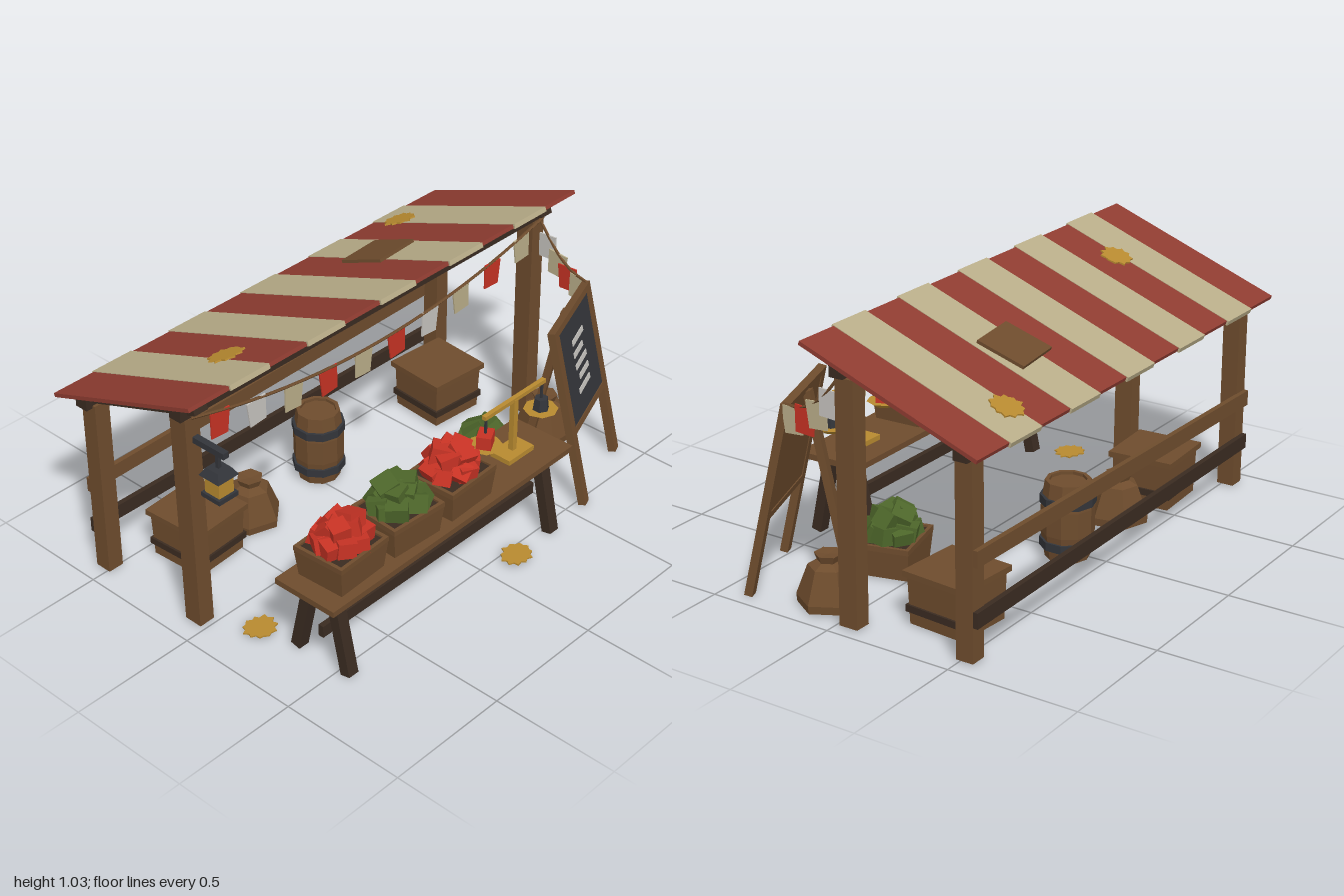
import * as THREE from 'three';

const paint = (name, color) => Object.assign(new THREE.MeshStandardMaterial({ color }), { name });
const wood = paint('wood', 0x6e4c2d), darkWood = paint('dark wood', 0x3a2b21);
const canvasRed = paint('canvas red', 0x8f3c31), cream = paint('cream cloth', 0xb9ad89);
const red = paint('bright red', 0xc63224), green = paint('leaf green', 0x4d662a);
const gold = paint('brass and straw', 0xb88a30), iron = paint('iron and slate', 0x33353a);
const white = paint('white', 0xc6c3be);

let seed = 7;
const rnd = (a, b) => {
  seed = (seed * 16807) % 2147483647;
  return a + (b - a) * (seed / 2147483647);
};
const V = (x, y, z) => new THREE.Vector3(x, y, z);
const Y = V(0, 1, 0);

// faceted mesh
function add(parent, name, geo, mat, x = 0, y = 0, z = 0) {
  const g = geo.index ? geo.toNonIndexed() : geo;
  g.computeVertexNormals();
  const m = new THREE.Mesh(g, mat);
  m.name = name;
  m.position.set(x, y, z);
  parent.add(m);
  return m;
}
const box = (parent, name, mat, w, h, d, x, y, z) =>
  add(parent, name, new THREE.BoxGeometry(w, h, d), mat, x, y, z);

// square bar between two points
function bar(parent, name, mat, a, b, w, d) {
  const dir = b.clone().sub(a), mid = a.clone().add(b).multiplyScalar(0.5);
  const m = box(parent, name, mat, w, dir.length(), d, mid.x, mid.y, mid.z);
  m.quaternion.setFromUnitVectors(Y, dir.normalize());
  return m;
}

// box whose bottom is scaled by k
function taperedBox(w, h, d, k) {
  const g = new THREE.BoxGeometry(w, h, d), p = g.attributes.position;
  for (let i = 0; i < p.count; i++)
    if (p.getY(i) < 0) p.setXYZ(i, p.getX(i) * k, p.getY(i), p.getZ(i) * k);
  return g;
}

function group(parent, name, x = 0, y = 0, z = 0, ry = 0) {
  const g = new THREE.Group();
  g.name = name;
  g.position.set(x, y, z);
  g.rotation.y = ry;
  parent.add(g);
  return g;
}

// open crate heaped with chunky produce
function produceCrate(parent, x, y, z, ry, mat) {
  const g = group(parent, 'produceCrate', x, y, z, ry);
  const w = 0.245, d = 0.215, h = 0.115;
  add(g, 'crateBody', taperedBox(w, h, d, 0.9), wood, 0, h / 2, 0);
  box(g, 'crateInside', darkWood, w - 0.03, 0.004, d - 0.03, 0, h + 0.001, 0);
  for (const s of [-1, 1]) {
    box(g, 'rim', wood, w, 0.02, 0.014, 0, h, s * (d / 2 - 0.007));
    box(g, 'rim', wood, 0.014, 0.02, d, s * (w / 2 - 0.007), h, 0);
  }
  const heap = (n, rx, rz, hy) => {
    for (let i = 0; i < n; i++) {
      const a = (i / n) * Math.PI * 2 + rnd(-0.2, 0.2);
      const s = rnd(0.062, 0.08);
      box(g, 'produce', mat, s, s * 0.9, s, Math.cos(a) * rx, hy + rnd(-0.008, 0.008), Math.sin(a) * rz)
        .rotation.set(rnd(-0.5, 0.5), rnd(0, 3), rnd(-0.5, 0.5));
    }
  };
  heap(9, 0.075, 0.062, h + 0.03);
  heap(5, 0.04, 0.035, h + 0.075);
}

// closed crate with lid and dark strap
function lidCrate(parent, x, z, ry) {
  const g = group(parent, 'lidCrate', x, 0.02, z, ry);
  add(g, 'crateBody', taperedBox(0.24, 0.18, 0.24, 0.95), wood, 0, 0.09, 0);
  box(g, 'lid', wood, 0.265, 0.022, 0.265, 0, 0.19, 0);
  box(g, 'strap', darkWood, 0.25, 0.026, 0.25, 0, 0.06, 0);
}

function sack(parent, x, z, ry) {
  const pts = [[0, 0], [0.115, 0], [0.118, 0.03], [0.075, 0.145], [0.04, 0.162], [0.052, 0.19], [0, 0.185]];
  add(parent, 'sack', new THREE.LatheGeometry(pts.map(p => new THREE.Vector2(...p)), 6), wood, x, 0.02, z).rotation.y = ry;
}

// ragged straw patch, flat in xz
function straw(parent, x, y, z) {
  const pts = [];
  for (let i = 0; i < 22; i++) {
    const a = (i / 22) * Math.PI * 2, r = (i % 2 ? 0.055 : 0.067) + rnd(-0.006, 0.006);
    pts.push(new THREE.Vector2(Math.cos(a) * r, Math.sin(a) * r * 0.9));
  }
  const geo = new THREE.ExtrudeGeometry(new THREE.Shape(pts), { depth: 0.006, bevelEnabled: false });
  add(parent, 'straw', geo.rotateX(-Math.PI / 2), gold, x, y, z);
}

// rope along a curve with hanging flags
function bunting(parent, curve, flags, along) {
  add(parent, 'rope', new THREE.TubeGeometry(curve, 24, 0.006, 5), wood);
  flags.forEach(([t, mat], i) => {
    const p = curve.getPointAt(t), tilt = i % 2 ? 0.08 : -0.06;
    const flag = add(parent, 'flag', taperedBox(0.088, 0.1, 0.006, 0.86), mat, p.x, p.y - 0.05, p.z);
    flag.rotation.set(0, along, tilt);
  });
}

export function createModel() {
  const model = new THREE.Group();
  model.name = 'marketStall';

  // frame
  const frame = group(model, 'frame');
  for (const s of [-1, 1]) {
    const foot = s < 0 ? -0.885 : 0.92;
    bar(frame, 'frontPost', wood, V(foot, 0.02, -0.055), V(s * 0.905, 0.915, -0.05), 0.065, 0.075);
    bar(frame, 'backPost', wood, V(s * 0.9, 0.02, -0.52), V(s * 0.9, 0.75, -0.52), 0.065, 0.068);
    bar(frame, 'rafter', darkWood, V(s * 0.9, 0.755, -0.575), V(s * 0.9, 0.972, 0.025), 0.06, 0.042);
  }
  bar(frame, 'frontBeam', darkWood, V(-0.96, 0.948, -0.035), V(0.96, 0.948, -0.035), 0.055, 0.055);
  bar(frame, 'backBeam', darkWood, V(-0.96, 0.765, -0.525), V(0.96, 0.765, -0.525), 0.05, 0.055);
  bar(frame, 'upperRail', wood, V(-0.93, 0.375, -0.562), V(0.93, 0.4, -0.562), 0.06, 0.02);
  bar(frame, 'lowerRail', darkWood, V(-0.93, 0.195, -0.562), V(0.93, 0.18, -0.562), 0.058, 0.02);

  // striped awning
  const roof = group(model, 'awning', 0, 0.903, -0.268);
  roof.rotation.x = -0.354;
  for (let i = 0; i < 11; i++)
    box(roof, 'stripe', i % 2 ? cream : canvasRed, 2 / 11, i % 2 ? 0.019 : 0.015, i % 2 ? 0.76 : 0.745, -1 + (i + 0.5) * 2 / 11, 0, 0);
  box(roof, 'roofPatch', wood, 0.205, 0.012, 0.19, 0.325, 0.018, -0.04).rotation.y = 0.1;
  straw(roof, -0.61, 0.011, 0.126);
  straw(roof, 0.66, 0.011, -0.247);

  // trestle table
  const table = group(model, 'table');
  box(table, 'tableTop', wood, 1.29, 0.023, 0.272, -0.195, 0.351, 0.42).rotation.y = 0.01;
  for (const x of [-0.74, 0.355])
    for (const s of [-1, 1])
      bar(table, 'tableLeg', darkWood, V(x, 0.02, 0.42 + s * 0.12), V(x, 0.342, 0.42 + s * 0.05), 0.046, 0.042);
  bar(table, 'stretcher', darkWood, V(-0.76, 0.155, 0.425), V(0.375, 0.155, 0.425), 0.048, 0.022);

  // goods
  produceCrate(model, -0.655, 0.362, 0.425, 0.05, red);
  produceCrate(model, -0.37, 0.362, 0.425, -0.05, green);
  produceCrate(model, -0.09, 0.362, 0.425, 0.04, red);
  produceCrate(model, 0.465, 0.02, 0.115, 0.25, green);
  lidCrate(model, -0.62, -0.34, 0.06);
  lidCrate(model, 0.7, -0.33, -0.08);
  sack(model, -0.35, -0.34, 0.2);
  sack(model, 0.83, 0.12, 0.5);

  // barrel
  const barrel = group(model, 'barrel', 0.035, 0.02, -0.355);
  const stave = [[0, 0], [0.083, 0], [0.099, 0.1], [0.099, 0.2], [0.085, 0.3], [0.07, 0.3], [0.07, 0.288], [0, 0.288]];
  add(barrel, 'staves', new THREE.LatheGeometry(stave.map(p => new THREE.Vector2(...p)), 10), wood);
  for (const y of [0.06, 0.228])
    add(barrel, 'hoop', new THREE.CylinderGeometry(0.104, 0.104, 0.032, 10), iron, 0, y, 0);

  // balance scale
  const scale = group(model, 'scale', 0.265, 0.363, 0.415);
  box(scale, 'base', gold, 0.14, 0.02, 0.09, 0, 0.01, 0);
  box(scale, 'pole', gold, 0.022, 0.23, 0.022, 0, 0.125, 0);
  box(scale, 'beam', gold, 0.34, 0.016, 0.018, 0, 0.24, 0);
  for (const s of [-1, 1]) {
    box(scale, 'hanger', iron, 0.008, 0.13, 0.008, s * 0.158, 0.175, 0);
    add(scale, 'pan', new THREE.CylinderGeometry(0.066, 0.04, 0.018, 8), gold, s * 0.158, 0.11, 0);
  }
  box(scale, 'goods', red, 0.07, 0.052, 0.055, -0.158, 0.145, 0).rotation.y = 0.5;
  add(scale, 'weight', new THREE.CylinderGeometry(0.026, 0.032, 0.048, 6), iron, 0.158, 0.143, 0);

  // sandwich sign
  const sign = group(model, 'sign', 0.7, 0, 0.31, 0.353);
  for (const s of [-1, 1])
    bar(sign, 'signLeg', wood, V(s * 0.19, 0.02, 0.16), V(s * 0.187, 0.75, 0), 0.04, 0.03);
  bar(sign, 'backLeg', wood, V(0, 0.02, -0.15), V(0, 0.73, -0.012), 0.035, 0.028);
  const board = group(sign, 'board', 0, 0.53, 0.048);
  board.rotation.x = -0.216;
  box(board, 'backPanel', wood, 0.36, 0.43, 0.014, 0, 0, -0.004);
  box(board, 'slate', iron, 0.345, 0.405, 0.008, 0, 0, 0.007);
  for (const s of [-1, 1]) box(board, 'signRail', wood, 0.38, 0.026, 0.03, 0, s * 0.212, 0);
  // chalk dashes
  for (const [x, y, w] of [[0.005, 0.1, 0.12], [-0.01, 0.05, 0.1], [0, 0, 0.12], [0.01, -0.05, 0.1], [-0.005, -0.1, 0.12]])
    box(board, 'chalkDash', white, w, 0.022, 0.005, x, y, 0.012).rotation.z = 0.03;

  // lantern on a bracket
  const lantern = group(model, 'lantern', -0.895, 0, 0.095);
  box(lantern, 'bracket', iron, 0.025, 0.024, 0.17, 0, 0.825, -0.045);
  box(lantern, 'link', iron, 0.014, 0.08, 0.014, 0, 0.785, 0);
  add(lantern, 'cap', taperedBox(0.06, 0.03, 0.06, 1.6), iron, 0, 0.745, 0);
  box(lantern, 'glass', gold, 0.068, 0.075, 0.068, 0, 0.695, 0);
  box(lantern, 'lanternBase', iron, 0.088, 0.018, 0.088, 0, 0.652, 0);

  // bunting across the front and down to the sign
  const sag = [];
  for (let i = 0; i <= 8; i++) {
    const x = -0.92 + i * 0.23;
    sag.push(V(x, 0.795 + 0.13 * (x / 0.92) ** 2, 0));
  }
  const order = [red, white, cream, red, cream, red, white, cream, red, cream];
  bunting(model, new THREE.CatmullRomCurve3(sag), order.map((m, i) => [0.07 + i * 0.0955, m]), 0);
  const drop = new THREE.CatmullRomCurve3([V(0.92, 0.9, -0.01), V(0.92, 0.845, 0.035), V(0.91, 0.79, 0.1), V(0.9, 0.758, 0.17), V(0.885, 0.75, 0.25)]);
  bunting(model, drop, [[0.18, white], [0.43, cream], [0.65, red], [0.85, cream]], Math.PI / 2);

  // straw on the ground
  straw(model, -0.79, 0.03, 0.15);
  straw(model, 0.14, 0.033, 0.555);
  return model;
}
